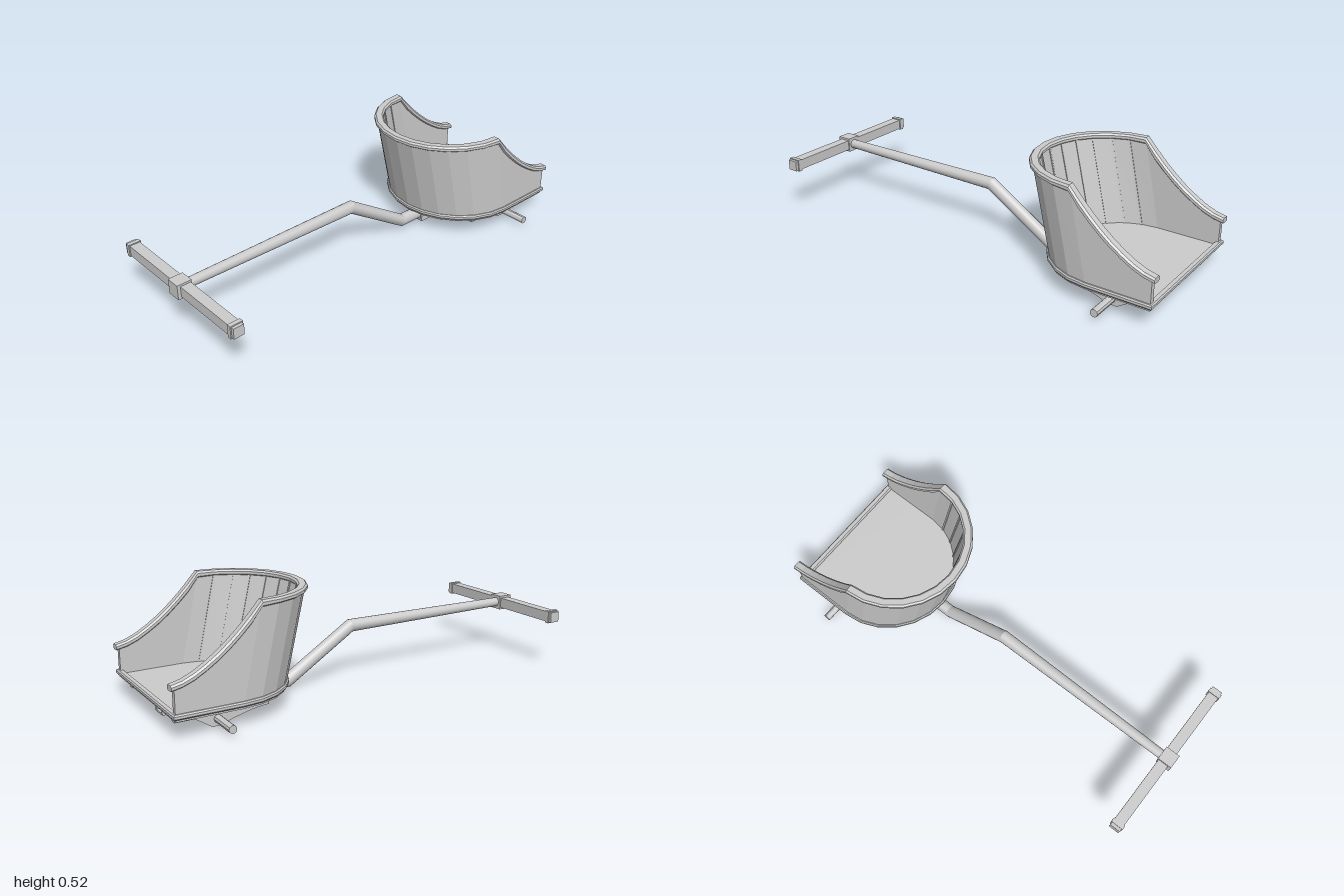
import * as THREE from 'three';
import { toCreasedNormals } from 'three/addons/utils/BufferGeometryUtils.js';

const flat = new THREE.MeshStandardMaterial({ color: 0xcccccc, flatShading: true, side: THREE.DoubleSide });
const smooth = new THREE.MeshStandardMaterial({ color: 0xcccccc });
const lerp = THREE.MathUtils.lerp;

// Skin a list of rings (same point count each); either capped or looped
function loft(rings, loop = false) {
  const pos = [];
  const tri = (a, b, c) => pos.push(...a, ...b, ...c);
  const n = rings[0].length;
  const spans = loop ? rings.length : rings.length - 1;
  for (let i = 0; i < spans; i++) {
    const A = rings[i], B = rings[(i + 1) % rings.length];
    for (let j = 0; j < n; j++) {
      const k = (j + 1) % n;
      tri(A[j], A[k], B[k]);
      tri(A[j], B[k], B[j]);
    }
  }
  if (!loop) {
    const S = rings[0], E = rings[rings.length - 1];
    for (let j = 1; j < n - 1; j++) {
      tri(S[0], S[j + 1], S[j]);
      tri(E[0], E[j], E[j + 1]);
    }
  }
  const g = new THREE.BufferGeometry();
  g.setAttribute('position', new THREE.Float32BufferAttribute(pos, 3));
  g.computeVertexNormals();
  return g;
}

// Stations around the U-shaped plan: straight side, half ellipse, straight side
const stations = [];
const sideSteps = 8;
for (let i = 0; i < sideSteps; i++) stations.push({ sign: -1, u: i / sideSteps });
for (let i = 0; i <= 12; i++) stations.push({ angle: (i / 12 - 0.5) * Math.PI });
for (let i = sideSteps - 1; i >= 0; i--) stations.push({ sign: 1, u: i / sideSteps });

// Plan point [x, z] at offset d outward; v = 0 at the floor, 1 at the rim (leans forward)
function plan(s, d, v, back = -0.985) {
  const start = lerp(-0.69, -0.6, v);
  if (s.angle === undefined) return [s.sign * (0.34 + d), lerp(back, start, s.u)];
  return [(0.34 + d) * Math.sin(s.angle), start + (lerp(0.33, 0.34, v) + d) * Math.cos(s.angle)];
}

// Height of the rim: level round the front, sweeping down to the rear
const sweep = new THREE.SplineCurve([[-1, 0.24], [-0.92, 0.263], [-0.8, 0.337], [-0.69, 0.432], [-0.6, 0.529]]
  .map(p => new THREE.Vector2(...p)));
const sweepPts = sweep.getPoints(40);
function rimHeight(z) {
  if (z >= -0.6) return 0.529;
  const i = Math.max(1, sweepPts.findIndex(p => p.x >= z));
  const a = sweepPts[i - 1], b = sweepPts[i];
  return lerp(a.y, b.y, (z - a.x) / (b.x - a.x));
}

export function createModel() {
  const model = new THREE.Group();
  const add = (name, geo, mat = flat, parent = model) => {
    const m = new THREE.Mesh(geo, mat);
    m.name = name;
    parent.add(m);
    return m;
  };
  const box = (name, w, h, d, x, y, z) => add(name, new THREE.BoxGeometry(w, h, d)).position.set(x, y, z);

  // Floor
  const floorShape = new THREE.Shape(stations.map(s => {
    const [x, z] = plan(s, 0, 0);
    return new THREE.Vector2(x, -z);
  }));
  const floor = new THREE.ExtrudeGeometry(floorShape, { depth: 0.018, bevelEnabled: false });
  floor.rotateX(-Math.PI / 2).translate(0, 0.085, 0);
  add('floor', floor);

  // Moulding round the floor edge
  const beadProfile = [[0.006, 0.118], [0.011, 0.112], [0.011, 0.101], [0.006, 0.095],
    [-0.012, 0.095], [-0.016, 0.101], [-0.016, 0.112], [-0.012, 0.118]];
  add('floorMoulding', loft(stations.map(s => beadProfile.map(([d, y]) => {
    const [x, z] = plan(s, d, 0, -0.985 - d);
    return [x, y, z];
  })), true));

  // Curved body wall, leaning forward
  const bodyPoint = (s, d, top) => {
    const [x, z] = plan(s, d, top ? 1 : 0);
    return [x, top ? rimHeight(plan(s, 0, 1)[1]) - 0.012 : 0.1, z];
  };
  add('bodyWall', loft(stations.map(s => [
    bodyPoint(s, 0, true), bodyPoint(s, 0, false), bodyPoint(s, -0.024, false), bodyPoint(s, -0.024, true)])));

  // Slim ribs over the inner seams
  const ribs = new THREE.Group();
  ribs.name = 'innerRibs';
  model.add(ribs);
  for (let i = 1; i < 12; i++) {
    const a = (i / 12 - 0.5) * Math.PI;
    const ring = top => [[0.016, -0.022], [-0.016, -0.022], [-0.016, -0.029], [0.016, -0.029]]
      .map(([da, d]) => bodyPoint({ angle: a + da }, d, top));
    add('rib', loft([ring(false), ring(true)]), flat, ribs);
  }

  // Hand rail capping the wall
  const railProfile = [[0.003, 0], [0.011, -0.008], [0.011, -0.02], [0.004, -0.025],
    [-0.028, -0.025], [-0.034, -0.02], [-0.034, -0.008], [-0.026, 0]];
  add('handRail', loft(stations.map(s => {
    const zc = plan(s, 0, 1, -1)[1];
    const slope = (rimHeight(zc + 0.01) - rimHeight(zc - 0.01)) / 0.02;
    const stretch = zc < -0.99 ? 1 : Math.hypot(1, slope);
    return railProfile.map(([d, dy]) => {
      const [x, z] = plan(s, d, 1, -1);
      return [x, rimHeight(zc) + dy * stretch, z];
    });
  })));

  // Hollow socket under the floor that holds the pole
  const rect = (T, w, y0, y1) => new T([[-w, y0], [w, y0], [w, y1], [-w, y1]].map(p => new THREE.Vector2(...p)));
  const socketShape = rect(THREE.Shape, 0.039, 0.006, 0.086);
  socketShape.holes.push(rect(THREE.Path, 0.03, 0.014, 0.078));
  const socket = new THREE.ExtrudeGeometry(socketShape, { depth: 0.51, bevelEnabled: false });
  add('poleSocket', socket.translate(0, 0, -0.93));

  // Cranked, tapering draught pole with mitred bends
  const bend = Math.atan2(0.213, 0.34) / 2;
  const poleRings = [[-0.5, 0.042, 0.03, 0], [-0.31, 0.042, 0.03, bend], [0.03, 0.255, 0.03, bend], [0.95, 0.255, 0.022, 0]]
    .map(([z, y, r, b]) => Array.from({ length: 16 }, (_, j) => {
      const a = j / 16 * Math.PI * 2, up = r * Math.sin(a) / Math.cos(b);
      return [r * Math.cos(a), y + up * Math.cos(b), z - up * Math.sin(b)];
    }));
  add('pole', toCreasedNormals(loft(poleRings), 0.45), smooth);

  // Yoke with centre block and end bands
  box('yokeBar', 0.8, 0.05, 0.05, 0, 0.255, 0.96);
  box('yokeBlock', 0.068, 0.07, 0.07, 0, 0.255, 0.965);
  for (const s of [-1, 1]) box('yokeBand', 0.02, 0.06, 0.06, s * 0.376, 0.255, 0.96);

  // Axle and its two shaped brackets
  const axle = new THREE.CylinderGeometry(0.018, 0.018, 0.82, 10);
  add('axle', axle.rotateZ(Math.PI / 2)).position.set(0, 0.036, -0.775);
  const bracket = new THREE.Shape();
  bracket.moveTo(0.54, 0.086);
  bracket.lineTo(0.54, 0.055);
  bracket.quadraticCurveTo(0.62, 0.05, 0.67, 0.033);
  bracket.quadraticCurveTo(0.72, 0.022, 0.75, 0.006);
  bracket.lineTo(0.8, 0.004);
  bracket.quadraticCurveTo(0.84, 0.03, 0.875, 0.053);
  bracket.lineTo(0.962, 0.053);
  bracket.lineTo(0.962, 0.086);
  for (const s of [-1, 1]) {
    const g = new THREE.ExtrudeGeometry(bracket, { depth: 0.03, bevelEnabled: false, curveSegments: 5 });
    add('axleBracket', g.rotateY(Math.PI / 2)).position.x = s * 0.25 - 0.015;
  }
  return model;
}
